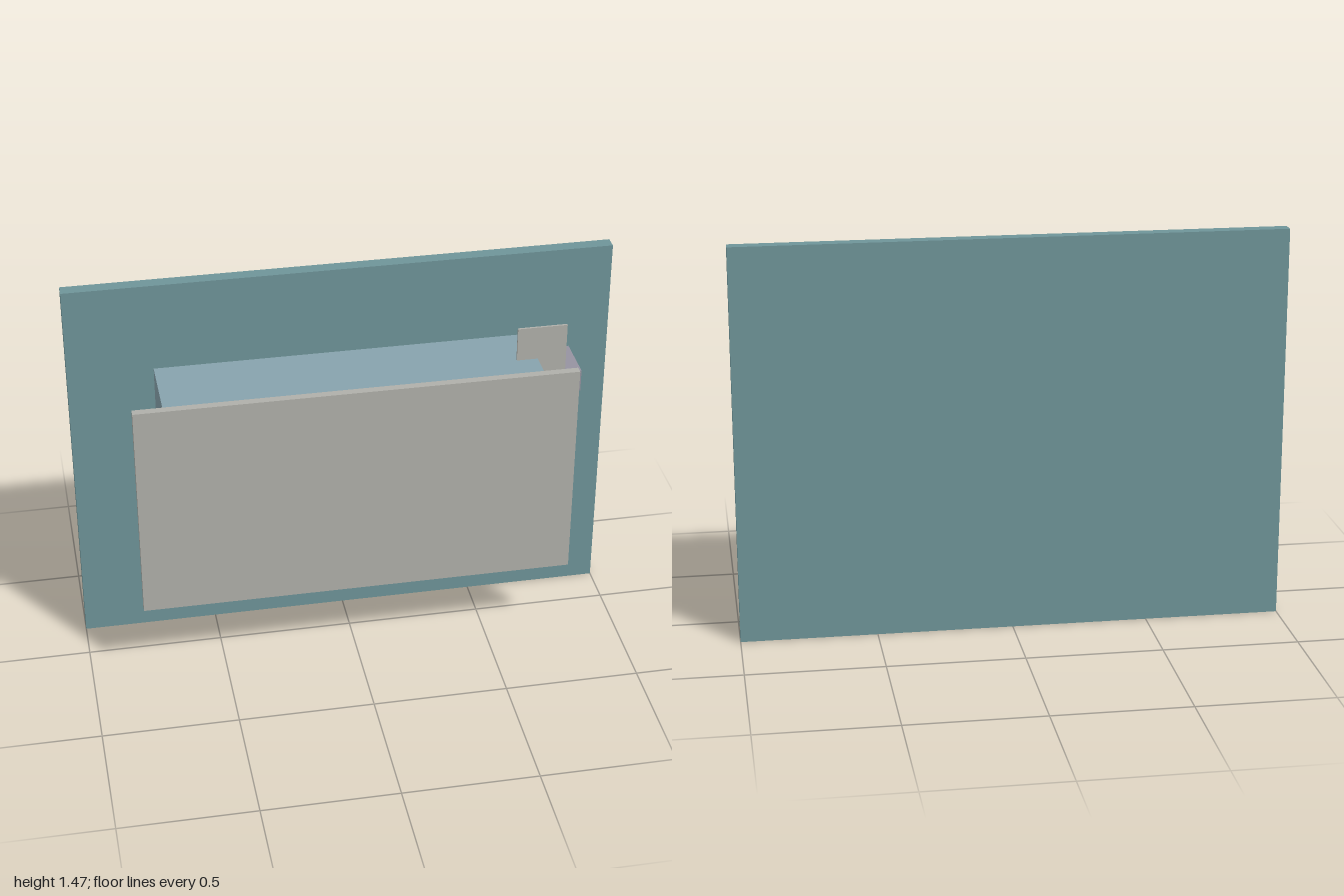
import * as THREE from 'three';

const paint = (color) => new THREE.MeshStandardMaterial({ color, flatShading: true });

export function createModel() {
  const model = new THREE.Group();
  const teal = paint(0x6f9599), blue = paint(0x87a3ad), beige = paint(0xb0b0aa), mauve = paint(0x9693a1);

  // Box given by its extents along each axis
  const block = (name, material, [x0, x1], [y0, y1], [z0, z1]) => {
    const mesh = new THREE.Mesh(new THREE.BoxGeometry(x1 - x0, y1 - y0, z1 - z0), material);
    mesh.position.set((x0 + x1) / 2, (y0 + y1) / 2, (z0 + z1) / 2);
    mesh.name = name;
    model.add(mesh);
  };

  // Wall panel with the housing mounted on it
  block('wallPanel', teal, [-1, 1], [0, 1.465], [-0.198, -0.149]);
  block('housing', blue, [-0.688, 0.688], [0.34, 1.128], [-0.149, 0.164]);

  // Front cover, just clear of the housing
  block('frontCover', beige, [-0.8, 0.8], [0.313, 1.157], [0.169, 0.198]);

  // Side bracket and the thin plate it carries
  block('sideBracket', mauve, [0.685, 0.855], [0.975, 1.06], [-0.149, 0.035]);
  block('sidePlate', beige, [0.61, 0.793], [0.78, 1.257], [0.025, 0.033]);

  // Row of slats under the housing
  for (let i = 0; i < 8; i++) {
    const x = -0.62 + i * 0.177;
    block(`bottomSlat${i + 1}`, mauve, [x - 0.01, x + 0.01], [0.303, 0.342], [-0.098, 0.12]);
  }
  return model;
}
